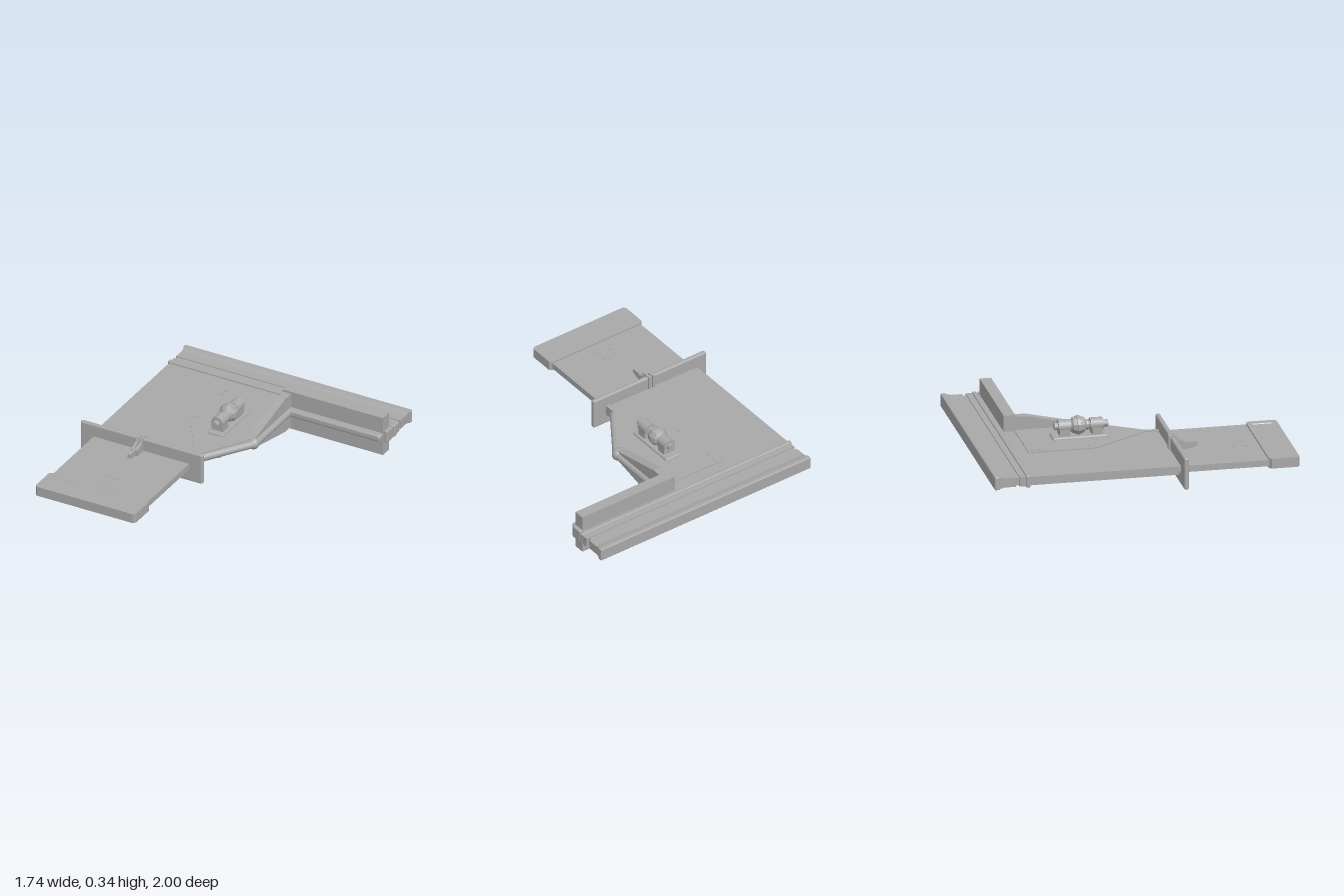
import * as THREE from 'three';
import { RoundedBoxGeometry } from 'three/addons/geometries/RoundedBoxGeometry.js';
import { toCreasedNormals } from 'three/addons/utils/BufferGeometryUtils.js';

const grey = new THREE.MeshStandardMaterial({ color: 0xa8a8a8 });
grey.name = 'grey metal';

export function createModel() {
  const root = new THREE.Group();
  root.name = 'slidingPlateDevice';
  // The device mirrors about its middle plane, which is y = 0 inside this group
  const body = new THREE.Group();
  body.name = 'body';
  body.position.y = 0.172;
  root.add(body);

  const add = (name, geo, parent = body) => {
    const m = new THREE.Mesh(geo, grey);
    m.name = name;
    parent.add(m);
    return m;
  };
  // Box from its limits, with optional rounded edges
  const box = (name, x0, x1, y0, y1, z0, z1, r = 0, parent = body) => {
    const s = [x1 - x0, y1 - y0, z1 - z0];
    const g = r ? new RoundedBoxGeometry(...s, 2, r) : new THREE.BoxGeometry(...s);
    g.translate((x0 + x1) / 2, (y0 + y1) / 2, (z0 + z1) / 2);
    return add(name, g, parent);
  };
  const outline = pts => pts.map(([x, z]) => new THREE.Vector2(x, -z));
  const rect = (x0, x1, z0, z1) => [[x0, z0], [x1, z0], [x1, z1], [x0, z1]];
  // Flat slab from an x,z outline, centred on y = 0
  const slab = (name, pts, h, holes = []) => {
    const s = new THREE.Shape(outline(pts));
    holes.forEach(p => s.holes.push(new THREE.Path(outline(p))));
    const g = new THREE.ExtrudeGeometry(s, { depth: h, bevelEnabled: false });
    g.translate(0, 0, -h / 2).rotateX(-Math.PI / 2);
    return add(name, g);
  };
  // Plate from a z,y side profile, running from x0 to x1
  const side = (name, pts, x0, x1) => {
    const s = new THREE.Shape(pts.map(([z, y]) => new THREE.Vector2(-z, y)));
    const g = new THREE.ExtrudeGeometry(s, { depth: x1 - x0, bevelEnabled: false });
    g.rotateY(Math.PI / 2).translate(x0, 0, 0);
    return add(name, g);
  };
  const symmetric = pts => [...pts, ...pts.map(([z, y]) => [z, -y]).reverse()];
  const rod = (name, a, b, r) => {
    const p = new THREE.Vector3(...a), q = new THREE.Vector3(...b), d = q.clone().sub(p);
    const m = add(name, new THREE.CylinderGeometry(r, r, d.length(), 16));
    m.position.copy(p).add(q).multiplyScalar(0.5);
    m.quaternion.setFromUnitVectors(new THREE.Vector3(0, 1, 0), d.normalize());
  };

  // Main plate and tongue
  slab('mainPlate', [[-0.79, -0.78], [0.85, -0.78], [0.85, -0.68], [0.14, -0.68],
    [0.14, -0.18], [-0.07, 0.15], [-0.07, 0.21], [-0.79, 0.21]], 0.056);
  slab('raisedPanel', [[-0.34, -0.68], [0.11, -0.68], [0.11, -0.19], [0.13, -0.17],
    [-0.07, 0.14], [-0.07, 0.23], [-0.1, 0.23], [-0.1, 0.14], [-0.34, -0.24]], 0.068);
  box('tongue', -0.77, -0.07, -0.021, 0.021, 0.2, 0.82);

  // Rear rails
  box('railCore', -0.78, 0.84, -0.025, 0.025, -0.95, -0.74);
  box('frontRib', -0.8, 0.865, -0.042, 0.042, -0.795, -0.765, 0.01);
  box('middleRib', -0.79, 0.86, -0.032, 0.032, -0.835, -0.79);
  side('rearRail', symmetric([[-0.97, 0.04], [-0.93, 0.031], [-0.86, 0.031]]), -0.79, 0.855);
  box('rearLip', -0.8, 0.865, -0.044, 0.044, -1, -0.965, 0.008);

  // Side beam with its long cross bar
  box('sideBeam', 0.095, 0.83, -0.137, 0.137, -0.75, -0.675);
  box('sideBeamLip', 0.83, 0.86, -0.042, 0.042, -0.76, -0.68, 0.008);
  box('crossBar', 0.13, 0.83, -0.024, 0.024, -0.69, -0.63, 0.015);

  // Tapered brace and rounded rim
  side('brace', symmetric([[-0.69, 0.122], [-0.6, 0.122], [-0.25, 0.044], [-0.18, 0.034]]), 0.1, 0.155);
  rod('armRim', [0.153, 0, -0.66], [0.153, 0, -0.2], 0.026);
  rod('diagonalRim', [0.15, 0, -0.19], [-0.085, 0, 0.16], 0.026);
  const knuckle = add('knuckle', new THREE.SphereGeometry(0.04, 16, 12));
  knuckle.position.set(0.145, 0, -0.2);

  // Cross guard and centre clip
  box('guard', -0.87, 0.025, -0.107, 0.107, 0.225, 0.257, 0.012);
  for (const x of [-0.452, -0.422])
    side('clipCheek', symmetric([[0.215, 0.114], [0.262, 0.114], [0.275, 0.088], [0.335, 0.062]]), x, x + 0.017);
  side('clipFin', symmetric([[0.25, 0.062], [0.405, 0.062], [0.405, 0.035], [0.36, 0.02]]), -0.438, -0.419);
  box('clipBridge', -0.452, -0.405, -0.06, 0.06, 0.29, 0.31);

  // End grip with recessed panels on both faces
  const grip = slab('gripFrame', [[-0.765, 0.8], [-0.075, 0.8], [-0.053, 0.815], [-0.053, 0.985],
    [-0.07, 1], [-0.77, 1], [-0.787, 0.985], [-0.787, 0.815]], 0.066,
  [rect(-0.74, -0.255, 0.835, 0.958), rect(-0.21, -0.1, 0.835, 0.958)]);
  grip.geometry = toCreasedNormals(grip.geometry, 0.5);
  box('gripCore', -0.76, -0.08, -0.02, 0.02, 0.81, 0.98);

  // Parts repeated above and below
  for (const sgn of [1, -1]) {
    const half = new THREE.Group();
    half.name = sgn > 0 ? 'upperRoller' : 'lowerRoller';
    half.rotation.z = sgn > 0 ? 0 : Math.PI;
    half.position.x = -0.092;
    body.add(half);
    box('rollerBase', -0.058, 0.058, 0.02, 0.048, -0.48, -0.115, 0.012, half);
    const alongZ = (name, r, z0, z1, n) => {
      const g = new THREE.CylinderGeometry(r, r, z1 - z0, n);
      g.rotateX(Math.PI / 2).translate(0, 0.108, (z0 + z1) / 2);
      add(name, g, half);
    };
    alongZ('axle', 0.023, -0.462, -0.11, 12);
    for (const [z0, z1] of [[-0.437, -0.355], [-0.227, -0.145]]) {
      alongZ('bearing', 0.042, z0, z1, 20);
      box('bearingFoot', -0.04, 0.04, 0.035, 0.108, z0 + 0.008, z1 - 0.008, 0, half);
    }
    // Faceted centre ball with a raised belt
    const profile = [[0.02, -0.075], [0.035, -0.065], [0.034, -0.05], [0.052, -0.036], [0.06, -0.012],
      [0.064, -0.01], [0.064, 0.01], [0.06, 0.012], [0.052, 0.036], [0.034, 0.05], [0.035, 0.065], [0.02, 0.075]];
    const ball = new THREE.LatheGeometry(profile.map(p => new THREE.Vector2(...p)), 10);
    ball.rotateX(Math.PI / 2).translate(0, 0.108, -0.305);
    add('centreBall', toCreasedNormals(ball, 0.4), half);

    // Small square studs
    const stud = (x, z, y) => box('stud', x - 0.015, x + 0.015, sgn * y - 0.003, sgn * y + 0.003, z - 0.015, z + 0.015);
    for (const z of [-0.64, -0.59, -0.265]) stud(-0.303, z, 0.034);
    for (const x of [-0.46, -0.38]) for (const z of [0.64, 0.72]) stud(x, z, 0.02);
  }
  return root;
}
